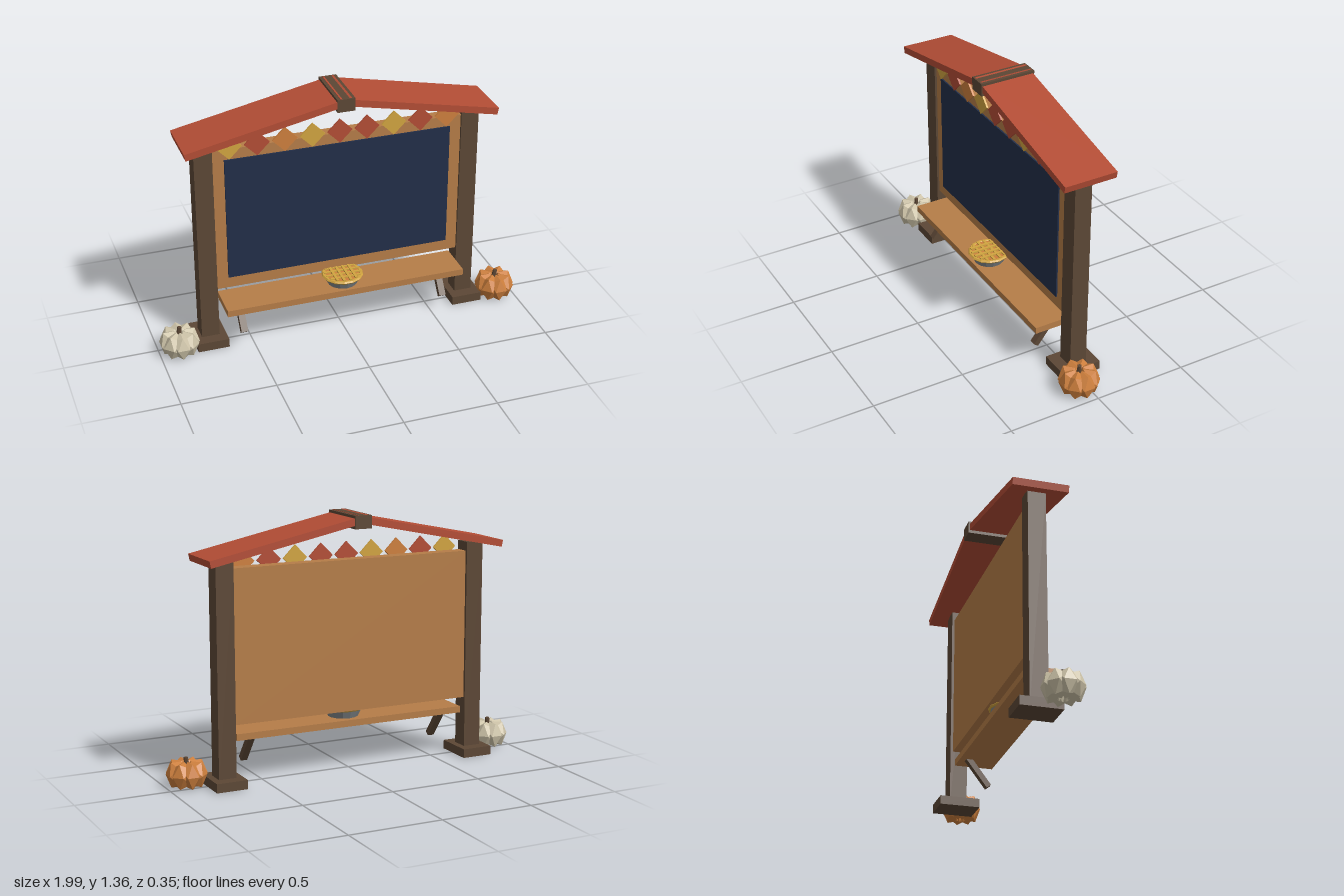
import * as THREE from 'three';

const mat = (name, color, flat = true) => {
  const m = new THREE.MeshStandardMaterial({ color, flatShading: flat });
  m.name = name;
  return m;
};

export function createModel() {
  const darkWood = mat('dark wood', 0x5c4735);
  const wood = mat('light wood', 0xb57d48);
  const red = mat('roof red', 0xb34d35);
  const navy = mat('navy panel', 0x222e49);
  const yellow = mat('golden yellow', 0xd1a440);
  const orange = mat('pumpkin orange', 0xcd7f3d);
  const cream = mat('cream', 0xcfc5aa);
  const tin = mat('tin grey', 0x83888b);

  const model = new THREE.Group();
  model.name = 'noticeBoard';

  const add = (name, geometry, material, x, y, z, parent = model) => {
    const mesh = new THREE.Mesh(geometry, material);
    mesh.name = name;
    mesh.position.set(x, y, z);
    parent.add(mesh);
    return mesh;
  };
  // Box given by its limits on each axis
  const box = (name, material, [x0, x1], [y0, y1], [z0, z1], parent) =>
    add(name, new THREE.BoxGeometry(x1 - x0, y1 - y0, z1 - z0), material,
      (x0 + x1) / 2, (y0 + y1) / 2, (z0 + z1) / 2, parent);

  // Posts, feet, shelf brackets and roof slabs, mirrored
  const slope = 0.205, ridgeY = 1.357, over = 0.03, eave = 0.834, slab = 0.037;
  for (const s of [1, -1]) {
    const side = s > 0 ? 'left' : 'right';
    const px = s * 0.718;
    box(side + 'Post', darkWood, [px - 0.048, px + 0.048], [0, 1.17], [-0.072, 0.022]);
    box(side + 'Foot', darkWood, [px - 0.084, px + 0.084], [0, 0.048], [-0.133, 0.085]);

    const bracket = add(side + 'Bracket', new THREE.BoxGeometry(0.036, 0.2, 0.03),
      darkWood, s * 0.558, 0.171, 0.05);
    bracket.rotation.x = -0.65;

    const mid = (eave - over) / 2;
    const roof = add(side + 'RoofSlab',
      new THREE.BoxGeometry((eave + over) / Math.cos(slope), slab, 0.29), red,
      s * (mid - Math.sin(slope) * slab / 2),
      ridgeY - mid * Math.tan(slope) - Math.cos(slope) * slab / 2, -0.023);
    roof.rotation.z = -s * slope;
  }
  box('ridgeCap', darkWood, [-0.047, 0.047], [1.293, 1.361], [-0.175, 0.129]);

  // Board, writing panel and shelf
  box('backBoard', wood, [-0.67, 0.67], [0.32, 1.122], [-0.058, 0.01]);
  box('writingPanel', navy, [-0.608, 0.608], [0.382, 1.065], [0.01, 0.018]);
  box('shelf', wood, [-0.655, 0.655], [0.234, 0.269], [-0.05, 0.16]);

  // Row of diamond flags
  const flags = [yellow, red, orange, yellow, red, red, yellow, red, orange];
  flags.forEach((material, i) => {
    const flag = add('flag', new THREE.BoxGeometry(0.094, 0.094, 0.01), material,
      (i - 4) * 0.146, 1.14, 0.024);
    flag.rotation.z = Math.PI / 4;
  });

  // Pie: tin, crust ring, filling and lattice
  const pie = new THREE.Group();
  pie.name = 'pie';
  pie.position.set(0, 0.269, 0.064);
  model.add(pie);
  add('pieTin', new THREE.CylinderGeometry(0.101, 0.08, 0.044, 14), tin, 0, 0.022, 0, pie);
  add('pieFilling', new THREE.CylinderGeometry(0.092, 0.092, 0.012, 14), orange, 0, 0.048, 0, pie);
  const crust = add('pieCrust', new THREE.TorusGeometry(0.1, 0.012, 6, 14), yellow, 0, 0.048, 0, pie);
  crust.rotation.x = Math.PI / 2;
  crust.scale.z = 0.75;
  for (const d of [-0.052, -0.018, 0.018, 0.052]) {
    const half = Math.sqrt(0.097 ** 2 - d ** 2);
    box('latticeStrip', yellow, [-half, half], [0.052, 0.06], [d - 0.007, d + 0.007], pie);
    box('latticeStrip', yellow, [d - 0.007, d + 0.007], [0.052, 0.063], [-half, half], pie);
  }

  // Pumpkins made of a ring of faceted lobes
  const lobe = new THREE.IcosahedronGeometry(0.058, 0);
  lobe.scale(1, 1.32, 1);
  const pumpkin = (name, material, x) => {
    const group = new THREE.Group();
    group.name = name;
    group.position.set(x, 0.07, 0.05);
    model.add(group);
    for (let i = 0; i < 8; i++) {
      const a = (i / 8) * Math.PI * 2;
      add('lobe', lobe, material, Math.cos(a) * 0.053, 0, -Math.sin(a) * 0.053, group).rotation.y = a;
    }
    const stem = add('stem', new THREE.CylinderGeometry(0.011, 0.015, 0.06, 6), darkWood, 0, 0.056, 0, group);
    stem.rotation.z = -0.1;
  };
  pumpkin('leftPumpkin', orange, 0.894);
  pumpkin('rightPumpkin', cream, -0.894);

  return model;
}
